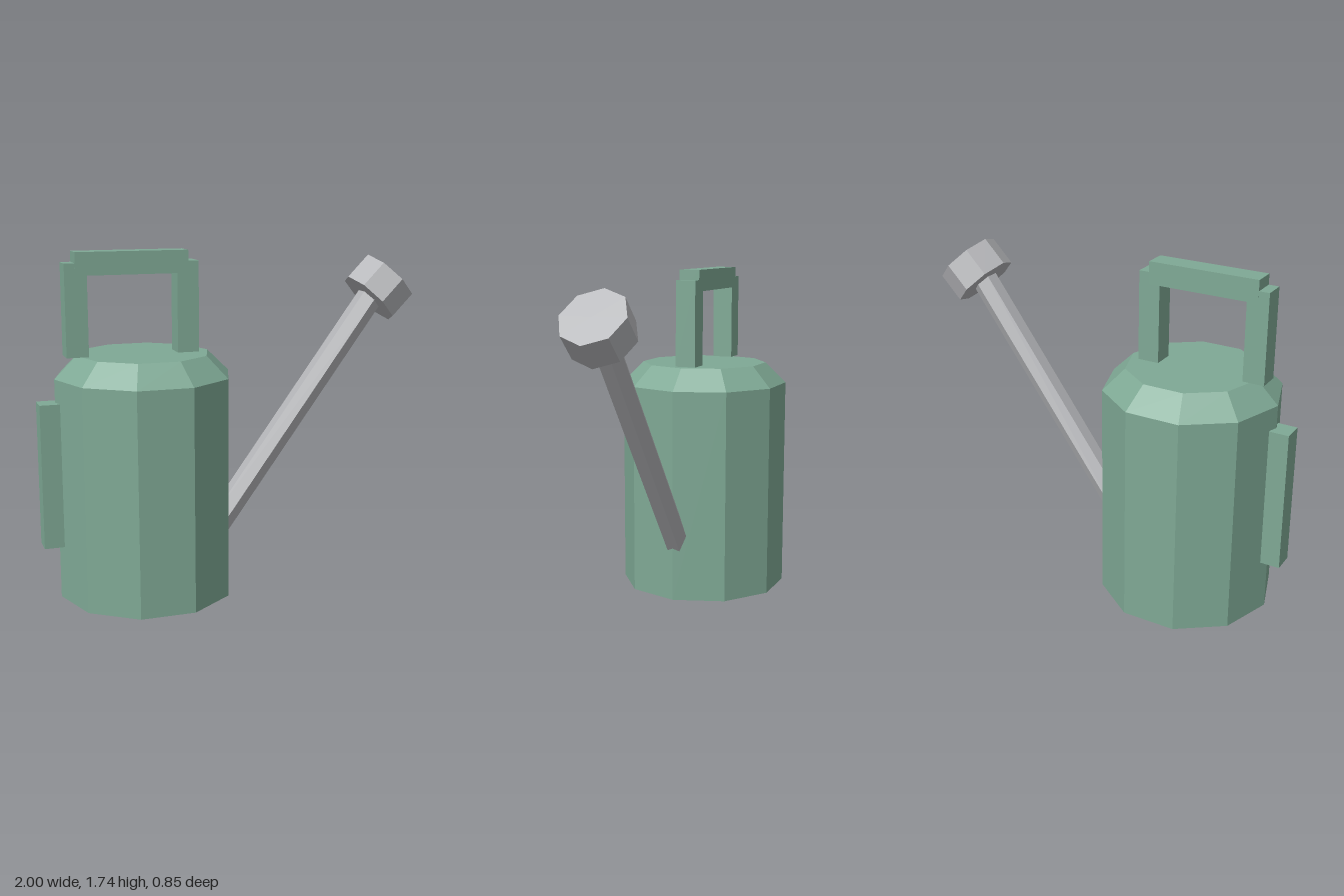
import * as THREE from 'three';

export function createModel() {
  const model = new THREE.Group();
  model.name = 'wateringCan';

  const green = new THREE.MeshStandardMaterial({ color: 0x7fa995 });
  green.name = 'sage green';
  green.flatShading = true;
  const grey = new THREE.MeshStandardMaterial({ color: 0xb5b6b9 });
  grey.name = 'light grey';
  grey.flatShading = true;

  function add(parent, name, geometry, material) {
    const mesh = new THREE.Mesh(geometry, material);
    mesh.name = name;
    parent.add(mesh);
    return mesh;
  }

  // Box spanning x0..x1 and y0..y1, centred on z
  function bar(parent, name, x0, x1, y0, y1, depth) {
    add(parent, name, new THREE.BoxGeometry(x1 - x0, y1 - y0, depth), green)
      .position.set((x0 + x1) / 2, (y0 + y1) / 2, 0);
  }

  // Prism running between two points in the xy plane, with corners on the z axis
  function prism(name, from, to, radius, sides) {
    const axis = to.clone().sub(from);
    const mesh = add(model, name, new THREE.CylinderGeometry(radius, radius, axis.length(), sides), grey);
    mesh.position.copy(from).add(to).multiplyScalar(0.5);
    mesh.quaternion.setFromUnitVectors(new THREE.Vector3(0, 1, 0), axis.normalize());
  }

  // Ten-sided tank with a sloping shoulder and flat lid
  const bodyX = -0.467;
  const tank = new THREE.CylinderGeometry(0.448, 0.448, 1.125, 10, 1, false, Math.PI / 2);
  add(model, 'tank', tank, green).position.set(bodyX, 0.5625, 0);
  const shoulder = new THREE.CylinderGeometry(0.336, 0.448, 0.11, 10, 1, false, Math.PI / 2);
  add(model, 'shoulder', shoulder, green).position.set(bodyX, 1.18, 0);

  // Top carrying handle
  const handle = new THREE.Group();
  handle.name = 'topHandle';
  model.add(handle);
  bar(handle, 'outerPost', -0.86, -0.75, 1.235, 1.69, 0.11);
  bar(handle, 'innerPost', -0.3, -0.19, 1.235, 1.69, 0.11);
  bar(handle, 'grip', -0.807, -0.243, 1.63, 1.743, 0.112);

  // Rear grip on the side of the tank
  bar(model, 'rearGrip', -1, -0.9, 0.28, 1.01, 0.11);

  // Slanted six-sided spout and its eight-sided sprinkler head
  prism('spout', new THREE.Vector3(-0.1, 0.274, 0), new THREE.Vector3(0.8, 1.506, 0), 0.068, 6);
  prism('sprinklerHead', new THREE.Vector3(0.767, 1.463, 0), new THREE.Vector3(0.877, 1.575, 0), 0.168, 8);

  return model;
}
